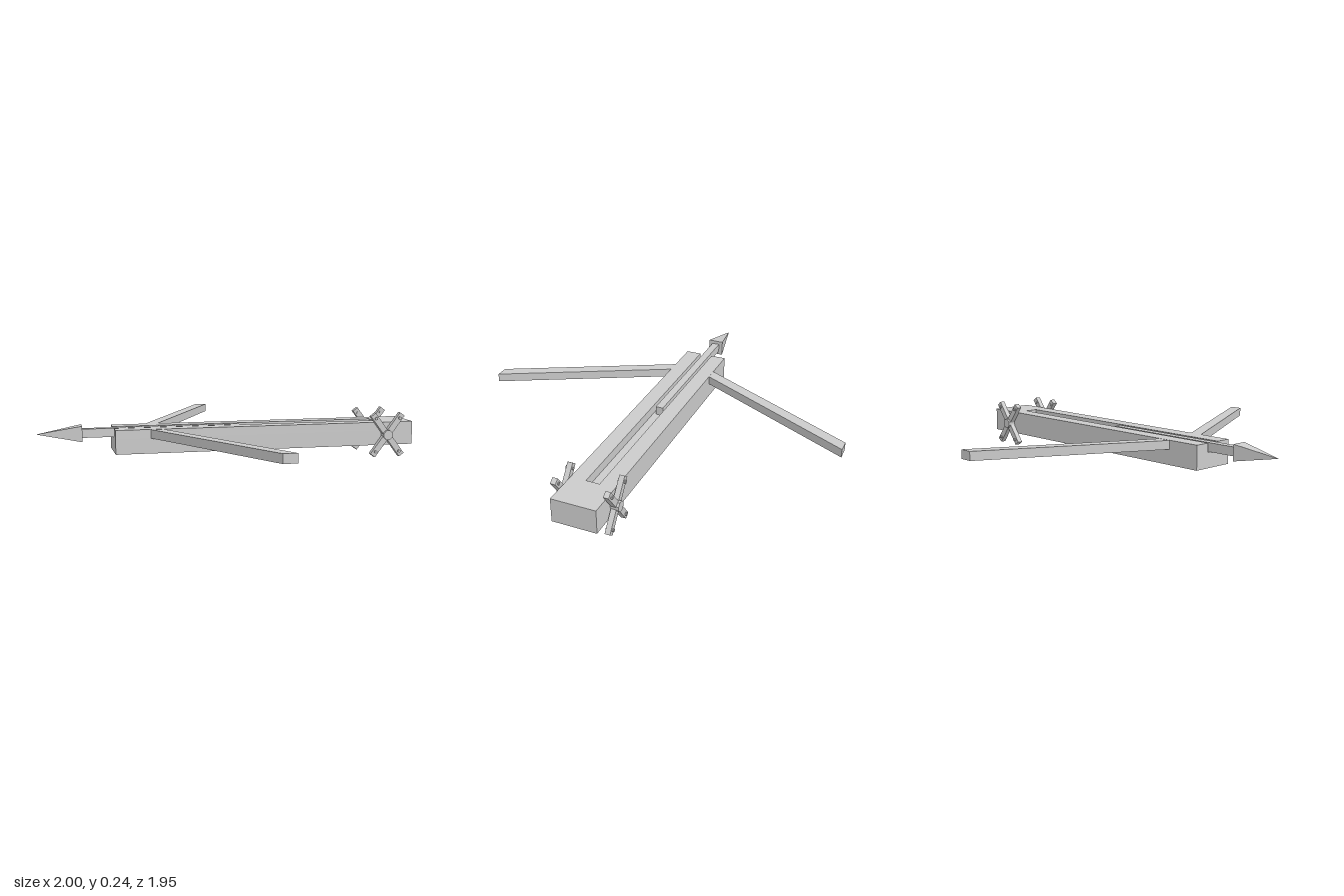
import * as THREE from 'three';

const material = new THREE.MeshStandardMaterial({ color: 0xcccccc, flatShading: true });

function add(parent, name, geometry, x = 0, y = 0, z = 0) {
  const mesh = new THREE.Mesh(geometry, material);
  mesh.name = name;
  mesh.position.set(x, y, z);
  parent.add(mesh);
  return mesh;
}

// Extrude a plan outline of [x, z] points upward from y0 to y1
function slab(points, y0, y1) {
  const shape = new THREE.Shape(points.map(([x, z]) => new THREE.Vector2(x, -z)));
  const geometry = new THREE.ExtrudeGeometry(shape, { depth: y1 - y0, bevelEnabled: false });
  return geometry.rotateX(-Math.PI / 2).translate(0, y0, 0);
}

// Crossed spokes with a hub and small pegs, facing +z
function createCrank() {
  const crank = new THREE.Group();
  const angle = Math.atan2(4, 3);
  for (const side of [-1, 1]) {
    const spoke = add(crank, 'crankSpoke', new THREE.BoxGeometry(0.275, 0.032, 0.027), 0, 0, 0.0155);
    spoke.rotation.z = side * angle;
    for (const end of [-1, 1]) {
      const r = end * 0.112;
      const peg = new THREE.CylinderGeometry(0.008, 0.008, 0.04, 8).rotateX(Math.PI / 2);
      add(crank, 'crankPeg', peg, r * Math.cos(angle), side * r * Math.sin(angle), 0.017);
    }
  }
  const hub = new THREE.CylinderGeometry(0.027, 0.027, 0.042, 8).rotateX(Math.PI / 2);
  hub.rotateZ(Math.PI / 8);
  add(crank, 'crankHub', hub, 0, 0, 0.02);
  return crank;
}

export function createModel() {
  const model = new THREE.Group();
  model.name = 'ballista';

  // Stock: solid lower block and a grooved upper layer, open at the front
  const floor = 0.14, top = 0.186, w = 0.115, g = 0.035;
  const stock = new THREE.Group();
  stock.name = 'stock';
  add(stock, 'stockBase', slab([[-0.61, -w], [1, -w], [1, w], [-0.61, w]], 0.062, floor));
  add(stock, 'stockGroove', slab([
    [-0.61, -w], [1, -w], [1, w], [-0.61, w],
    [-0.61, g], [0.81, g], [0.81, -g], [-0.61, -g],
  ], floor, top));
  model.add(stock);

  // Bolt: square shaft and four-sided pointed head
  const bolt = new THREE.Group();
  bolt.name = 'bolt';
  add(bolt, 'boltShaft', new THREE.BoxGeometry(0.83, 0.045, 0.04), -0.355, 0.1625, 0);
  const head = new THREE.ConeGeometry(0.041 * Math.SQRT2, 0.23, 4).rotateY(Math.PI / 4).rotateZ(Math.PI / 2);
  add(bolt, 'boltHead', head, -0.885, 0.162, 0);
  model.add(bolt);

  // Swept arms and winding cranks on both sides
  for (const side of [-1, 1]) {
    const arm = [[-0.43, side * w], [-0.363, side * w], [0.08, side * 0.975], [0.012, side * 0.975]];
    add(model, side > 0 ? 'frontArm' : 'backArm', slab(arm, 0.14, 0.185));

    const crank = createCrank();
    crank.name = side > 0 ? 'frontCrank' : 'backCrank';
    crank.position.set(0.845, 0.12, side * 0.118);
    if (side < 0) crank.rotation.y = Math.PI;
    model.add(crank);
  }
  return model;
}
